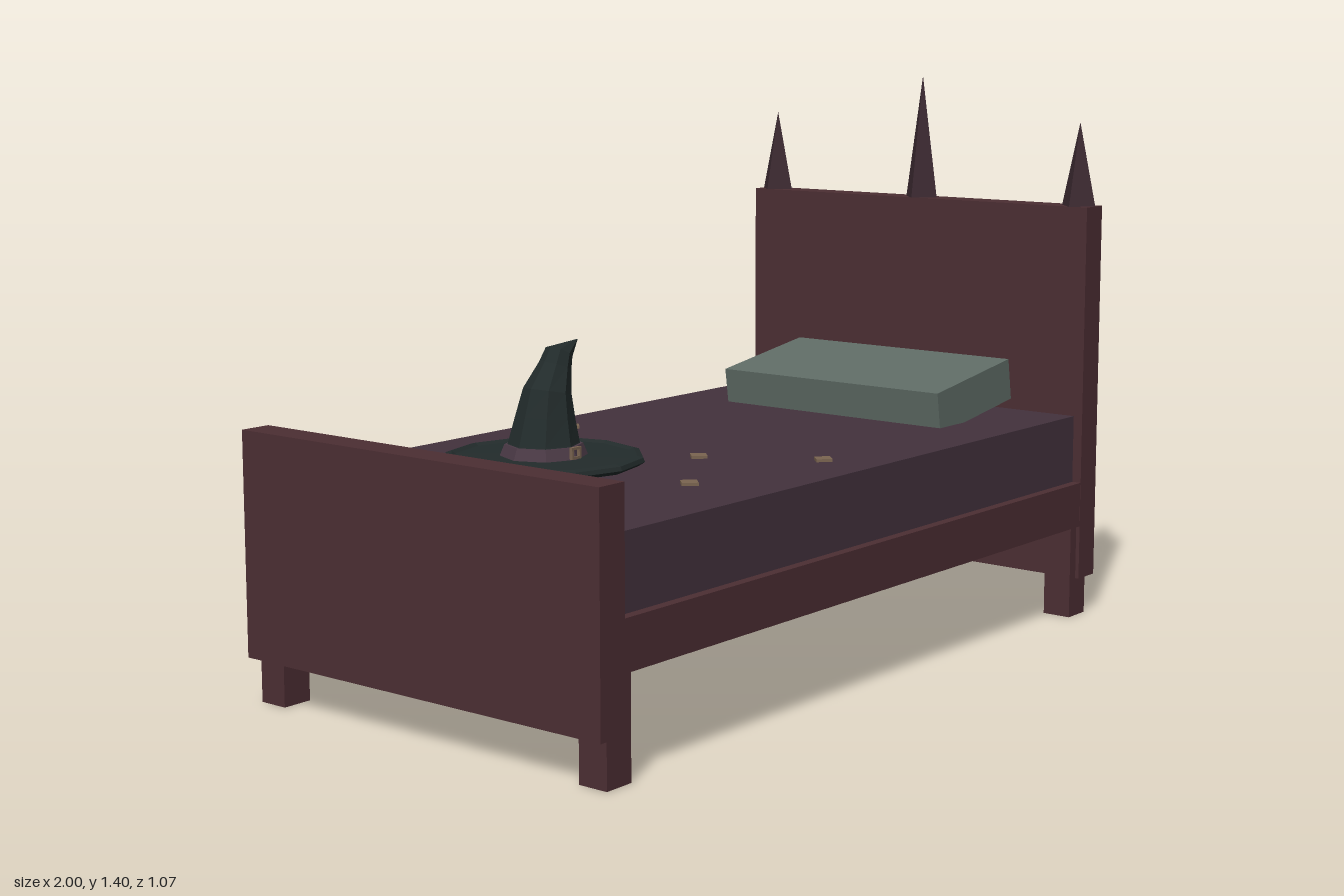
import * as THREE from 'three';

export function createModel() {
  const model = new THREE.Group();
  const mat = (color) => new THREE.MeshStandardMaterial({ color, flatShading: true });
  const wood = mat(0x4c2e33), spikeMat = mat(0x3c2a31), sheet = mat(0x43323d);
  const pillowMat = mat(0x5f6c66), felt = mat(0x222b2b), bandMat = mat(0x4a3945), gold = mat(0x7a6450);

  const add = (name, geometry, material, x, y, z, parent = model) => {
    const mesh = new THREE.Mesh(geometry, material);
    mesh.name = name;
    mesh.position.set(x, y, z);
    parent.add(mesh);
    return mesh;
  };
  // Box given by its x and y ranges and its depth, centred on z
  const slab = (name, x0, x1, y0, y1, depth, material, z = 0) =>
    add(name, new THREE.BoxGeometry(x1 - x0, y1 - y0, depth), material, (x0 + x1) / 2, (y0 + y1) / 2, z);

  // Bedstead
  slab('footboard', -1, -0.922, 0.11, 0.64, 1.07, wood);
  slab('headboard', 0.908, 0.985, 0.1, 1.075, 1.07, wood);
  slab('frame', -0.922, 0.908, 0.24, 0.356, 1.068, wood);
  slab('mattress', -0.922, 0.908, 0.356, 0.53, 1.02, sheet);
  for (const z of [-0.487, 0.487]) {
    slab('footLeg', -0.97, -0.893, 0, 0.3, 0.076, wood, z);
    slab('headLeg', 0.88, 0.957, 0, 0.3, 0.076, wood, z);
  }

  // Four-sided spikes on the headboard
  for (const [z, h] of [[-0.487, 0.215], [0, 0.325], [0.487, 0.215]])
    add('spike', new THREE.ConeGeometry(0.049, h, 4), spikeMat, 0.948, 1.075 + h / 2, z);

  // Pillow leaning towards the headboard
  add('pillow', new THREE.BoxGeometry(0.34, 0.108, 0.68), pillowMat, 0.697, 0.592, 0).rotation.z = 0.148;

  // Pointed hat with a bent tip
  const hat = new THREE.Group();
  hat.name = 'hat';
  hat.position.set(-0.445, 0.53, -0.12);
  model.add(hat);
  const brim = [[0, 0], [0.225, 0], [0.24, 0.01], [0.236, 0.02], [0.222, 0.024], [0.212, 0.018], [0, 0.022]];
  add('hatBrim', new THREE.LatheGeometry(brim.map(([r, y]) => new THREE.Vector2(r, y)), 12), felt, 0, 0, 0, hat);
  // Crown rings: centre x, centre y, radius, tilt
  const crown = loft([
    [0, 0.018, 0.098, 0], [0, 0.05, 0.084, 0], [0.006, 0.11, 0.07, -0.08], [0.014, 0.17, 0.057, -0.2],
    [0.042, 0.226, 0.039, -0.35], [0.056, 0.257, 0.033, -0.5], [0.12, 0.28, 0.001, -0.9],
  ], 8);
  add('hatCrown', crown, felt, 0, 0, 0, hat);
  add('hatBand', new THREE.CylinderGeometry(0.092, 0.103, 0.027, 8), bandMat, 0, 0.034, 0, hat);

  // Open square buckle on the front of the band
  const buckleShape = new THREE.Shape([[-1, -1], [1, -1], [1, 1], [-1, 1]].map(([x, y]) => new THREE.Vector2(x * 0.016, y * 0.014)));
  buckleShape.holes.push(new THREE.Path([[-1, -1], [-1, 1], [1, 1], [1, -1]].map(([x, y]) => new THREE.Vector2(x * 0.01, y * 0.008))));
  add('hatBuckle', new THREE.ExtrudeGeometry(buckleShape, { depth: 0.008, bevelEnabled: false }), gold, 0, 0.036, 0.095, hat);

  // Small diamond-shaped pieces scattered over the mattress
  const piece = new THREE.CylinderGeometry(0.027, 0.027, 0.01, 4);
  const spots = [[-0.765, -0.01], [-0.79, 0.055], [-0.68, 0.24], [-0.75, 0.355], [-0.43, 0.305],
    [-0.16, 0.115], [-0.01, 0.37], [-0.04, -0.395], [-0.295, -0.3]];
  for (const [x, z] of spots) add('goldPiece', piece, gold, x, 0.532, z);

  return model;
}

// Skin over round cross-sections that lean in the xy plane
function loft(rings, sides) {
  const position = [], index = [];
  rings.forEach(([cx, cy, r, tilt], i) => {
    for (let j = 0; j < sides; j++) {
      const a = (j / sides) * Math.PI * 2, u = r * Math.cos(a);
      position.push(cx + u * Math.cos(tilt), cy + u * Math.sin(tilt), r * Math.sin(a));
      if (i === rings.length - 1) continue;
      const p = i * sides + j, q = i * sides + ((j + 1) % sides);
      index.push(p, p + sides, q, q, p + sides, q + sides);
    }
  });
  const geometry = new THREE.BufferGeometry();
  geometry.setAttribute('position', new THREE.Float32BufferAttribute(position, 3));
  geometry.setIndex(index);
  geometry.computeVertexNormals();
  return geometry;
}
